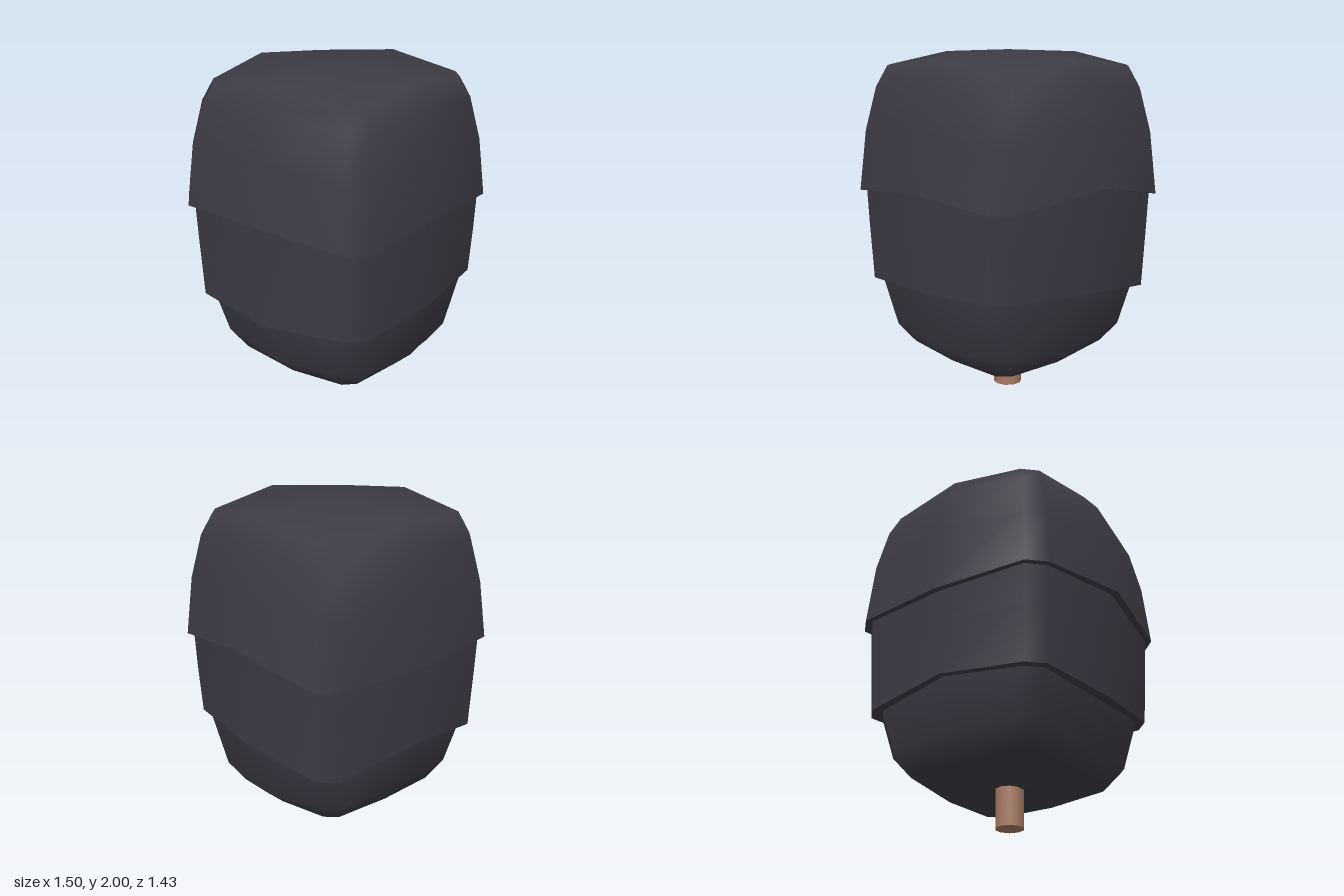
import * as THREE from 'three';

// One ring of 12 points: a bulged square with chamfered corners.
// rx, rz: reach at the middle of the sides; c: reach of the corners
// y: one height for [sides, corners], or eight heights around from +x towards +z
function ring(rx, rz, c, y) {
  const h = y.length === 8 ? y : Array.from({ length: 8 }, (_, i) => y[i % 2]);
  const a = c * 1.08, b = c * 0.92;
  return [
    [rx, h[0], 0], [a, h[1], b], [b, h[1], a],
    [0, h[2], rz], [-b, h[3], a], [-a, h[3], b],
    [-rx, h[4], 0], [-a, h[5], -b], [-b, h[5], -a],
    [0, h[6], -rz], [b, h[7], -a], [a, h[7], -b],
  ];
}

// Joins rings from bottom to top; bottom and top are optional heights of a centre point
function loft(rings, { bottom, top, sharpBottom = false }) {
  const n = 12, pos = rings.flat(), idx = [];
  for (let r = 0; r < rings.length - 1; r++) {
    for (let j = 0; j < n; j++) {
      const a = r * n + j, b = r * n + (j + 1) % n;
      idx.push(a, a + n, b, b, a + n, b + n);
    }
  }
  if (top !== undefined) {
    const centre = pos.push([0, top, 0]) - 1, base = (rings.length - 1) * n;
    for (let j = 0; j < n; j++) idx.push(base + j, centre, base + (j + 1) % n);
  }
  if (bottom !== undefined) {
    let base = 0;
    if (sharpBottom) { // own vertices keep the rim crisp
      base = pos.length;
      pos.push(...rings[0]);
    }
    const centre = pos.push([0, bottom, 0]) - 1;
    for (let j = 0; j < n; j++) idx.push(base + j, base + (j + 1) % n, centre);
  }
  const g = new THREE.BufferGeometry();
  g.setAttribute('position', new THREE.Float32BufferAttribute(pos.flat(), 3));
  g.setIndex(idx);
  g.computeVertexNormals();
  return g;
}

export function createModel() {
  const model = new THREE.Group();
  model.name = 'tree';

  const foliage = new THREE.MeshStandardMaterial({ color: 0x3d3c46, side: THREE.DoubleSide });
  foliage.name = 'dark foliage';
  const bark = new THREE.MeshStandardMaterial({ color: 0xa97b63 });
  bark.name = 'brown bark';

  const add = (name, geometry, material) => {
    const mesh = new THREE.Mesh(geometry, material);
    mesh.name = name;
    model.add(mesh);
  };

  // Trunk
  const trunk = new THREE.CylinderGeometry(0.083, 0.083, 0.3, 10);
  trunk.translate(0, 0.15, 0);
  add('trunk', trunk, bark);

  // Lowest tier, tapering to a rounded underside
  add('lowerFoliage', loft([
    ring(0.425, 0.43, 0.39, [0.23, 0.23, 0.23, 0.26, 0.23, 0.27, 0.265, 0.28]),
    ring(0.537, 0.54, 0.463, [0.33, 0.35, 0.33, 0.37, 0.345, 0.4, 0.41, 0.39]),
    ring(0.62, 0.61, 0.525, [0.69, 0.68]),
    ring(0.63, 0.62, 0.53, [0.8, 0.8]),
  ], { bottom: 0.215 }), foliage);

  // Middle tier with an uneven rim
  add('middleFoliage', loft([
    ring(0.672, 0.648, 0.558, [0.69, 0.71, 0.68, 0.66, 0.62, 0.65, 0.7, 0.63]),
    ring(0.69, 0.664, 0.572, [1.0, 0.98]),
    ring(0.708, 0.678, 0.582, [1.32, 1.26]),
  ], { bottom: 0.67, sharpBottom: true }), foliage);

  // Top tier with an uneven rim and a shallow domed crown
  add('upperFoliage', loft([
    ring(0.75, 0.715, 0.607, [1.29, 1.2, 1.25, 1.19, 1.25, 1.21, 1.19, 1.18]),
    ring(0.7, 0.69, 0.578, [1.61, 1.54]),
    ring(0.64, 0.645, 0.532, [1.855, 1.79]),
    ring(0.547, 0.56, 0.485, [1.97, 1.91]),
  ], { bottom: 1.23, top: 2, sharpBottom: true }), foliage);

  return model;
}
